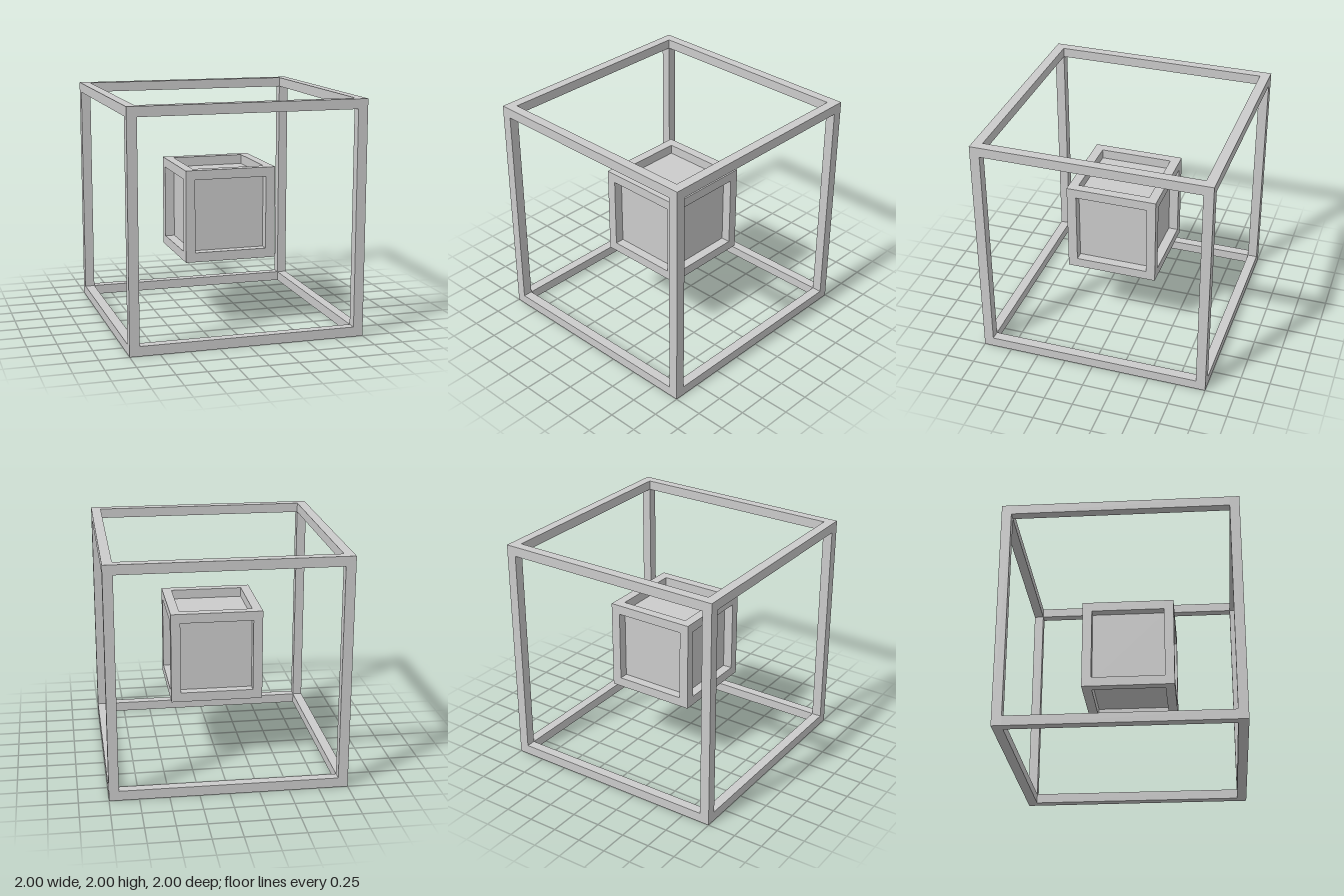
import * as THREE from 'three';

const material = new THREE.MeshStandardMaterial({ color: 0xcccccc, flatShading: true });

function box(name, w, h, d, x = 0, y = 0, z = 0) {
  const mesh = new THREE.Mesh(new THREE.BoxGeometry(w, h, d), material);
  mesh.name = name;
  mesh.position.set(x, y, z);
  return mesh;
}

// Open cube of twelve square bars, centred on its own origin
function cubeFrame(name, size, bar) {
  const frame = new THREE.Group();
  frame.name = name;
  const o = (size - bar) / 2;
  const span = size - 2 * bar;
  for (const a of [-1, 1]) {
    for (const b of [-1, 1]) {
      frame.add(box('post', bar, size, bar, a * o, 0, b * o));
      frame.add(box('crossRail', span, bar, bar, 0, a * o, b * o));
      frame.add(box('sideRail', bar, bar, span, a * o, b * o, 0));
    }
  }
  return frame;
}

export function createModel() {
  const model = new THREE.Group();
  model.name = 'nestedCubes';

  // Large outer frame
  const outer = cubeFrame('outerFrame', 2, 0.083);
  outer.position.y = 1;
  model.add(outer);

  // Small framed cube floating slightly off centre, with a recessed solid core
  const size = 0.788, bar = 0.081;
  const inner = cubeFrame('innerFrame', size, bar);
  const core = size - 2 * bar;
  inner.add(box('core', core, core, core));
  inner.position.set(0.02, 0.981, 0.02);
  model.add(inner);

  return model;
}
